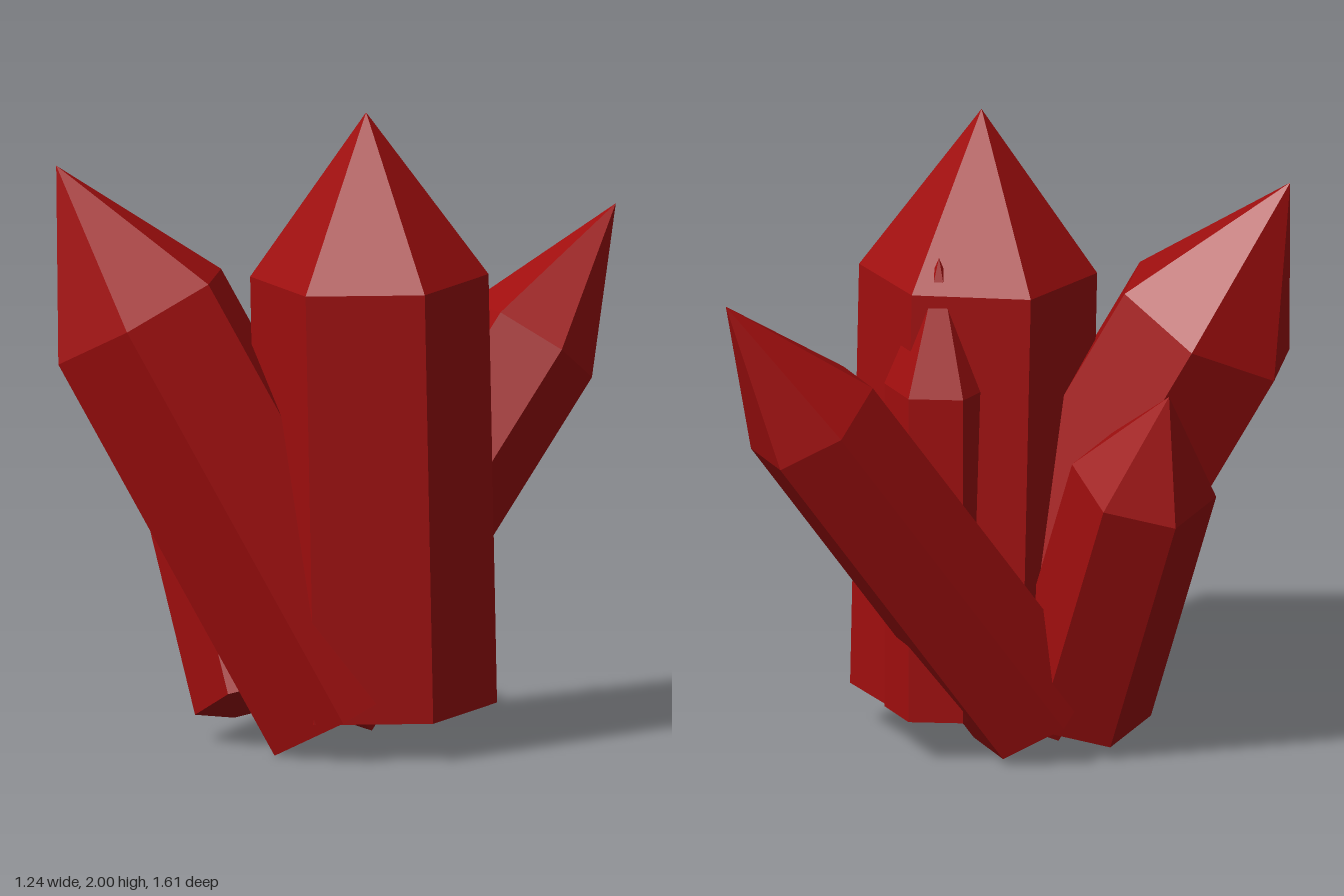
import * as THREE from 'three';

const crystalRed = new THREE.MeshStandardMaterial({ color: 0xa00e0e, flatShading: true });
crystalRed.name = 'crystalRed';

// Six-sided pointed prism from base centre to shoulder centre, with a tip of the given
// height; "corner" is the direction from the axis to one of its long edges.
function crystal(name, base, shoulder, radius, tip, corner) {
  const start = new THREE.Vector3(...base);
  const axis = new THREE.Vector3(...shoulder).sub(start);
  const length = axis.length();
  axis.normalize();

  const profile = [[0, 0], [radius, 0], [radius, length], [0, length + tip]]
    .map(([r, y]) => new THREE.Vector2(r, y));
  const mesh = new THREE.Mesh(new THREE.LatheGeometry(profile, 6), crystalRed);

  // Turn the prism so y runs along the axis and z points at the chosen edge
  const z = new THREE.Vector3(...corner).projectOnPlane(axis).normalize();
  const x = new THREE.Vector3().crossVectors(axis, z);
  mesh.quaternion.setFromRotationMatrix(new THREE.Matrix4().makeBasis(x, axis, z));
  mesh.position.copy(start);
  mesh.name = name;
  return mesh;
}

export function createModel() {
  const group = new THREE.Group();
  group.name = 'crystalCluster';
  group.add(
    // Tall upright crystal
    crystal('mainCrystal', [0.29, 0.13, 0.135], [0.3, 1.485, 0.2], 0.37, 0.516, [0, 0, 1]),
    // Large crystal leaning forward and to the right
    crystal('frontCrystal', [0.268, 0.128, 0.227], [-0.342, 1.343, 0.517], 0.31, 0.537, [0.13, 0, 0.28]),
    // Short crystal leaning to the right
    crystal('shortCrystal', [-0.06, 0.133, 0.224], [-0.4, 0.958, 0.08], 0.23, 0.346, [0, -0.039, -0.225]),
    // Slim crystal leaning backward and to the left
    crystal('backCrystal', [0.012, 0.133, 0.085], [0.412, 1.19, -0.559], 0.223, 0.503, [0.187, 0, 0.118]),
    // Thin upright crystal against the back of the main one
    crystal('thinCrystal', [0.255, 0.135, -0.085], [0.255, 1.195, -0.085], 0.17, 0.415, [0, 0, 1]),
  );
  return group;
}
